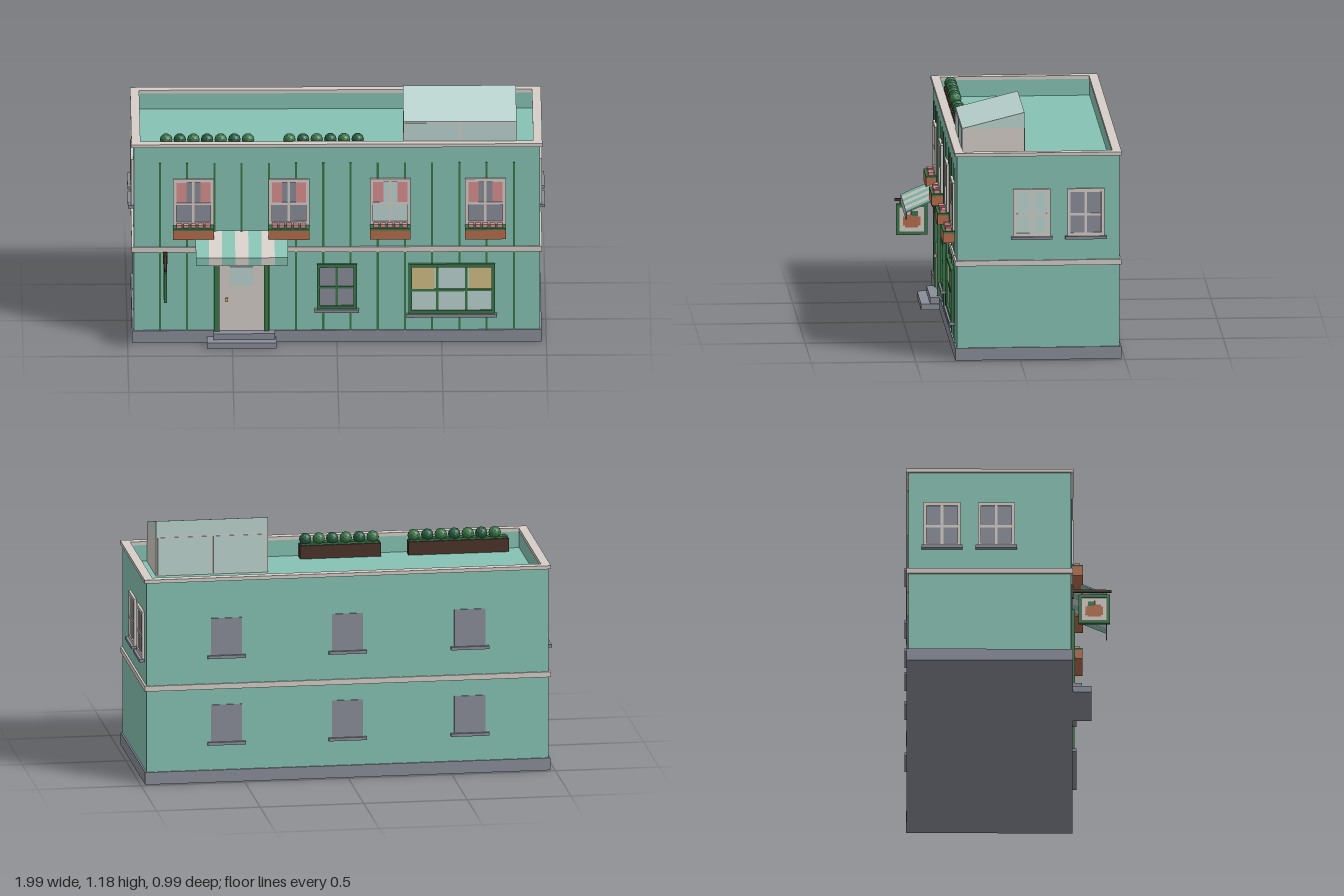
import * as THREE from 'three';

const M = {};
for (const [name, color] of Object.entries({
  tealWall: 0x86c2b3, creamTrim: 0xd6cec8, greyStone: 0x8a8d99, paleGlass: 0xbcd5d0, frameGreen: 0x3a7548,
  darkBrown: 0x4a3228, terracotta: 0xb56d4c, rosePink: 0xda8f90, curtainYellow: 0xd2bf85, shrubGreen: 0x265c40,
})) {
  M[name] = new THREE.MeshStandardMaterial({ color });
  M[name].name = name;
}

const WALL_X = 0.97, FRONT = 0.302, BACK = -0.476, MID_Z = (FRONT + BACK) / 2, DEPTH = FRONT - BACK;
const ROOF = 0.91;

function add(parent, name, geo, mat) {
  const m = new THREE.Mesh(geo, mat);
  m.name = name;
  parent.add(m);
  return m;
}

// box given by its min and max on each axis
function box(parent, name, mat, x0, x1, y0, y1, z0, z1) {
  const m = add(parent, name, new THREE.BoxGeometry(x1 - x0, y1 - y0, z1 - z0), mat);
  m.position.set((x0 + x1) / 2, (y0 + y1) / 2, (z0 + z1) / 2);
  return m;
}

function group(parent, name, x = 0, y = 0, z = 0, ry = 0) {
  const g = new THREE.Group();
  g.name = name;
  g.position.set(x, y, z);
  g.rotation.y = ry;
  parent.add(g);
  return g;
}

// rectangular ring centred on the origin, extruded along +z
function ringGeo(w, h, t, depth) {
  const rect = (C, a, b) => new C([[-a, -b], [a, -b], [a, b], [-a, b]].map(p => new THREE.Vector2(...p)));
  const s = rect(THREE.Shape, w / 2, h / 2);
  s.holes.push(rect(THREE.Path, w / 2 - t, h / 2 - t));
  return new THREE.ExtrudeGeometry(s, { depth, bevelEnabled: false });
}

// window facing +z with its sill line at y = 0
function windowUnit(g, { w, h, t = 0.016, frame, glass, cols = 2, bar, depth = 0.012, sill = 0.016, curtain }) {
  add(g, 'windowFrame', ringGeo(w, h, t, depth), frame).position.y = h / 2;
  box(g, 'pane', glass, -w / 2 + t / 2, w / 2 - t / 2, t / 2, h - t / 2, 0, 0.005);
  for (let i = 1; i < cols; i++) {
    const x = -w / 2 + (w * i) / cols;
    box(g, 'mullion', frame, x - 0.006, x + 0.006, t, h - t, 0, 0.009);
  }
  box(g, 'crossBar', frame, -w / 2 + t, w / 2 - t, bar - 0.006, bar + 0.006, 0, 0.0095);
  if (sill) box(g, 'sill', M.greyStone, -w / 2 - 0.01, w / 2 + 0.01, -sill, 0, 0, 0.026);
  if (curtain) for (const s of [-1, 1]) {
    const a = s * (w / 2 - t), b = s * (w / 2 - t - curtain.w);
    box(g, 'curtain', curtain.mat, Math.min(a, b), Math.max(a, b), bar + 0.006, h - t, 0, 0.007);
  }
}

function flowerBox(g) {
  box(g, 'flowerBox', M.terracotta, -0.097, 0.097, -0.06, -0.014, 0, 0.056);
  box(g, 'flowerLeaves', M.frameGreen, -0.097, 0.097, -0.014, -0.004, 0, 0.056);
  for (let i = 0; i < 5; i++) {
    const x = -0.068 + i * 0.034;
    box(g, 'flower', M.rosePink, x - 0.013, x + 0.013, -0.004, 0.011, 0.015, 0.043);
  }
}

function buildShell(root) {
  const g = group(root, 'shell');
  box(g, 'walls', M.tealWall, -WALL_X, WALL_X, 0.06, ROOF, BACK, FRONT);
  box(g, 'plinth', M.greyStone, -0.978, 0.978, 0, 0.06, BACK - 0.008, FRONT + 0.008);
  box(g, 'bandCourse', M.creamTrim, -0.98, 0.98, 0.458, 0.484, BACK - 0.008, FRONT + 0.009);
  const parapet = add(g, 'parapet', ringGeo(2 * WALL_X, DEPTH, 0.03, 0.08), M.tealWall);
  parapet.position.set(0, ROOF, MID_Z);
  const cap = add(g, 'parapetCap', ringGeo(1.962, DEPTH + 0.02, 0.043, 0.017), M.creamTrim);
  cap.position.set(0, 0.99, MID_Z);
  parapet.rotation.x = cap.rotation.x = -Math.PI / 2;
  // thin vertical battens on the front
  for (let i = 0; i < 14; i++) {
    const x = -0.845 + i * 0.13;
    box(g, 'batten', M.frameGreen, x - 0.005, x + 0.005, 0.06, ROOF, FRONT, FRONT + 0.004);
  }
}

function buildWindows(root) {
  // upper front windows
  [-0.685, -0.229, 0.255, 0.709].forEach((x, i) => {
    const g = group(root, 'upperFrontWindow', x, 0.598, FRONT);
    windowUnit(g, { w: 0.195, h: 0.232, frame: M.creamTrim, glass: i === 2 ? M.paleGlass : M.greyStone,
      bar: 0.107, sill: 0, curtain: { w: 0.048, mat: M.rosePink } });
    flowerBox(g);
  });
  // ground floor front windows
  windowUnit(group(root, 'smallShopWindow', 0, 0.17, FRONT),
    { w: 0.192, h: 0.227, frame: M.frameGreen, glass: M.greyStone, bar: 0.108, depth: 0.016 });
  windowUnit(group(root, 'largeShopWindow', 0.548, 0.145, FRONT),
    { w: 0.412, h: 0.252, frame: M.frameGreen, glass: M.paleGlass, cols: 3, bar: 0.118, depth: 0.016,
      curtain: { w: 0.108, mat: M.curtainYellow } });
  // side windows
  for (const s of [-1, 1]) for (const z of [-0.055, -0.315]) {
    const g = group(root, 'sideWindow', s * WALL_X, 0.6, z, s * Math.PI / 2);
    windowUnit(g, { w: 0.178, h: 0.23, frame: M.creamTrim, bar: 0.105, sill: 0.014,
      glass: s > 0 && z > -0.2 ? M.paleGlass : M.greyStone });
  }
  // plain back windows
  for (const x of [-0.59, 0, 0.585]) for (const y of [0.198, 0.624]) {
    const g = group(root, 'backWindow', x, y, BACK, Math.PI);
    box(g, 'pane', M.greyStone, -0.075, 0.075, 0, 0.182, 0, 0.005);
    box(g, 'sill', M.greyStone, -0.092, 0.092, -0.015, 0, 0, 0.017);
  }
}

function buildEntrance(root) {
  const g = group(root, 'entrance', -0.455, 0, FRONT);
  box(g, 'lowerStep', M.greyStone, -0.165, 0.165, 0, 0.03, 0, 0.097);
  box(g, 'upperStep', M.greyStone, -0.135, 0.16, 0.03, 0.06, 0, 0.053);
  box(g, 'door', M.creamTrim, -0.107, 0.107, 0.06, 0.432, 0, 0.008);
  for (const s of [-1, 1]) box(g, 'doorPost', M.frameGreen, s * 0.118 - 0.012, s * 0.118 + 0.012, 0.06, 0.45, 0, 0.018);
  box(g, 'doorLintel', M.frameGreen, -0.106, 0.106, 0.432, 0.45, 0, 0.018);
  box(g, 'doorGlass', M.paleGlass, -0.055, 0.055, 0.29, 0.385, 0.008, 0.011);
  box(g, 'doorKnob', M.curtainYellow, -0.08, -0.064, 0.21, 0.227, 0.008, 0.02);

  // striped awning: sloped sheet with a hanging front edge, one slice per stripe
  const slice = new THREE.Shape([[0, 0.565], [0.172, 0.49], [0.172, 0.45], [0.167, 0.45], [0.167, 0.486], [0, 0.558]]
    .map(p => new THREE.Vector2(...p)));
  const w = 0.44 / 7;
  for (let i = 0; i < 7; i++) {
    const geo = new THREE.ExtrudeGeometry(slice, { depth: w, bevelEnabled: false });
    const m = add(g, 'awningStripe', geo, i % 2 ? M.creamTrim : M.tealWall);
    m.rotation.y = -Math.PI / 2;
    m.position.x = -0.22 + (i + 1) * w;
  }
}

function buildSign(root) {
  const g = group(root, 'hangingSign', -0.82, 0, 0);
  const B = M.darkBrown;
  box(g, 'bracketPlate', B, -0.01, 0.01, 0.4, 0.46, FRONT, FRONT + 0.012);
  box(g, 'bracketArm', B, -0.006, 0.006, 0.43, 0.442, FRONT, 0.495);
  for (const z of [0.355, 0.468]) box(g, 'hanger', B, -0.003, 0.003, 0.41, 0.43, z - 0.003, z + 0.003);
  box(g, 'signBoard', M.creamTrim, -0.005, 0.005, 0.275, 0.405, 0.345, 0.48);
  const rim = add(g, 'signRim', ringGeo(0.15, 0.15, 0.016, 0.016), M.frameGreen);
  rim.rotation.y = Math.PI / 2;
  rim.position.set(-0.008, 0.34, 0.412);
  // painted fruit on both faces
  const e = 0.0065;
  box(g, 'fruitBody', M.terracotta, -e, e, 0.31, 0.354, 0.371, 0.454);
  box(g, 'fruitCore', M.terracotta, -e, e, 0.301, 0.363, 0.381, 0.444);
  box(g, 'fruitStem', B, -e - 0.0005, e + 0.0005, 0.361, 0.386, 0.41, 0.418);
  box(g, 'fruitLeaf', M.frameGreen, -e - 0.0003, e + 0.0003, 0.357, 0.38, 0.383, 0.41);
}

function buildRoof(root) {
  // glazed rooftop lantern with sloping glass top
  const s = group(root, 'skylight', 0.588, 0, 0);
  box(s, 'skylightBase', M.creamTrim, -0.27, 0.27, ROOF, 1.105, -0.028, 0.27);
  const wedge = new THREE.Shape([[-0.27, 1.105], [0.028, 1.105], [0.028, 1.18]].map(p => new THREE.Vector2(...p)));
  const top = add(s, 'skylightGlassTop', new THREE.ExtrudeGeometry(wedge, { depth: 0.54, bevelEnabled: false }), M.paleGlass);
  top.rotation.y = Math.PI / 2;
  top.position.x = -0.27;
  for (const [z0, z1] of [[0.27, 0.273], [-0.031, -0.028]]) for (const k of [-1, 1]) {
    box(s, 'skylightPane', M.paleGlass, k * 0.134 - 0.128, k * 0.134 + 0.128, ROOF + 0.005, 1.098, z0, z1);
  }

  // planters with round shrubs
  for (const [x0, x1, first, n] of [[-0.88, -0.395, -0.815, 7], [-0.262, 0.128, -0.226, 6]]) {
    const g = group(root, 'roofPlanter');
    box(g, 'planterBox', M.darkBrown, x0, x1, ROOF, 0.975, 0.2, 0.255);
    box(g, 'planterLeaves', M.frameGreen, x0 + 0.008, x1 - 0.008, 0.975, 0.985, 0.208, 0.247);
    for (let i = 0; i < n; i++) {
      const geo = new THREE.IcosahedronGeometry(0.03, 1).toNonIndexed();
      geo.computeVertexNormals();
      add(g, 'shrub', geo, i % 2 ? M.shrubGreen : M.frameGreen).position.set(first + i * 0.0652, 1.002, 0.227);
    }
  }
}

export function createModel() {
  const root = new THREE.Group();
  root.name = 'shopBuilding';
  buildShell(root);
  buildWindows(root);
  buildEntrance(root);
  buildSign(root);
  buildRoof(root);
  return root;
}
